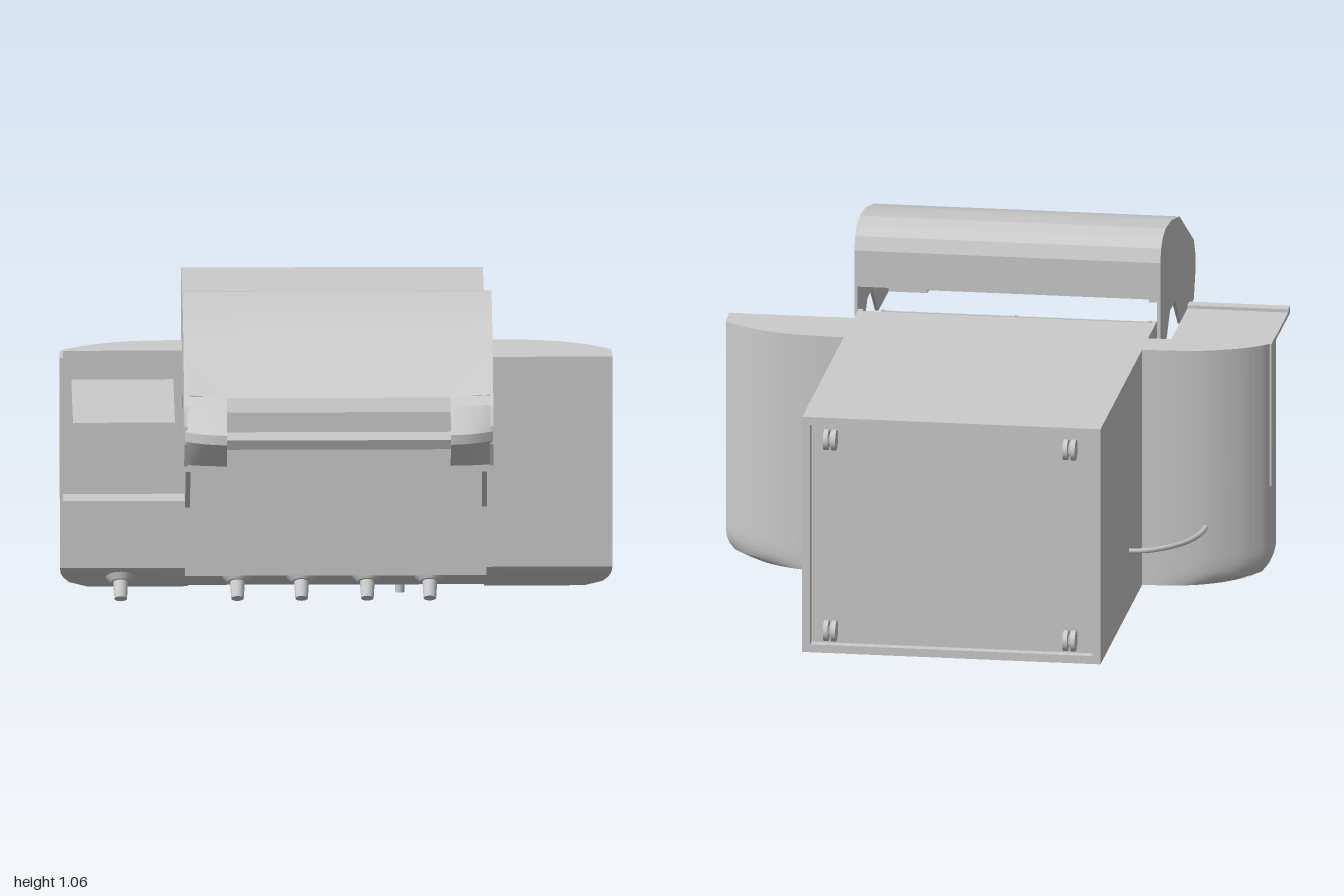
import * as THREE from 'three';
import { toCreasedNormals } from 'three/addons/utils/BufferGeometryUtils.js';

const grey = new THREE.MeshStandardMaterial({ color: 0xcccccc, side: THREE.DoubleSide });
const V = (x, y, z) => new THREE.Vector3(x, y, z);

export function createModel() {
  const model = new THREE.Group();

  const add = (name, geo, parent = model) => {
    const m = new THREE.Mesh(geo, grey);
    m.name = name;
    parent.add(m);
    return m;
  };
  const box = (name, x0, x1, y0, y1, z0, z1, parent) => {
    const g = new THREE.BoxGeometry(x1 - x0, y1 - y0, z1 - z0);
    g.translate((x0 + x1) / 2, (y0 + y1) / 2, (z0 + z1) / 2);
    return add(name, g, parent);
  };
  // Extrudes a [z, y] outline across x
  const across = (pts, x0, x1, steps = 1) => {
    const shape = new THREE.Shape(pts.map(p => new THREE.Vector2(p[0], p[1])));
    const g = new THREE.ExtrudeGeometry(shape, { depth: x1 - x0, steps, bevelEnabled: false });
    return g.rotateY(-Math.PI / 2).translate(x1, 0, 0);
  };
  // Open sheet through rows of points, two points per row
  const sheet = rows => {
    const pos = [], v = p => pos.push(...p);
    for (let i = 0; i < rows.length - 1; i++) {
      const [a, b] = rows[i], [c, d] = rows[i + 1];
      [a, c, b, b, c, d].forEach(v);
    }
    const g = new THREE.BufferGeometry();
    g.setAttribute('position', new THREE.Float32BufferAttribute(pos, 3));
    g.computeVertexNormals();
    return g;
  };
  const reshape = (g, rule) => {
    const p = g.attributes.position, v = V();
    for (let i = 0; i < p.count; i++) {
      v.fromBufferAttribute(p, i);
      rule(v);
      p.setXYZ(i, v.x, v.y, v.z);
    }
    g.computeVertexNormals();
    return g;
  };

  // Cabinet with a sloped control panel and a recessed base
  add('cabinet', across([[-0.925, 0.8], [-0.925, 0.055], [0, 0.055], [0.03, 0.062],
    [0.125, 0.135], [0.2, 0.135], [0.2, 0.8]], -0.46, 0.457));
  for (const [x0, x1] of [[-0.46, -0.435], [0.432, 0.457]])
    box('baseRimSide', x0, x1, 0.055, 0.8, -0.955, -0.925);
  for (const [y0, y1] of [[0.055, 0.08], [0.775, 0.8]])
    box('baseRimEdge', -0.46, 0.457, y0, y1, -0.955, -0.925);

  // Firebox walls
  const wall = [[0.19, 0.8], [0.19, 0.35], [0.2, 0.35], [0.31, 0.49], [0.31, 0.7], [0.22, 0.8]];
  add('fireboxWall', across(wall, -0.46, -0.445));
  add('fireboxWall', across(wall, 0.442, 0.457));

  // Warming rack
  const rack = new THREE.Group();
  rack.name = 'warmingRack';
  model.add(rack);
  box('rackLedge', -0.46, 0.46, 0.546, 0.554, 0.29, 0.41, rack);
  for (let i = 0; i < 10; i++) {
    const y = 0.558 + i * 0.02;
    box('rackBar', -0.413, 0.413, y - 0.004, y + 0.004, 0.4, 0.408, rack);
  }
  for (const x of [-0.41, 0, 0.41])
    box('rackPost', x - 0.005, x + 0.005, 0.55, 0.745, 0.4, 0.41, rack);

  // Hood shell, end panels and recessed front
  const hood = new THREE.Group();
  hood.name = 'hood';
  model.add(hood);
  const curve = [[0.22, 0.87], [0.22, 0.984], [0.237, 1.025], [0.27, 1.048], [0.33, 1.062],
    [0.45, 1.053], [0.62, 1.016], [0.71, 0.967]];
  add('hoodShell', toCreasedNormals(sheet(curve.map(([z, y]) => [[-0.47, y, z], [0.47, y, z]])), 0.3), hood);
  add('hoodFront', sheet([
    [[-0.47, 0.967, 0.71], [0.47, 0.967, 0.71]],
    [[-0.34, 0.87, 0.87], [0.34, 0.87, 0.87]],
    [[-0.34, 0.83, 0.89], [0.34, 0.83, 0.89]],
    [[-0.34, 0.668, 0.89], [0.34, 0.668, 0.89]]]), hood);
  const side = [[0.22, 0.738], ...curve.slice(1), [0.87, 0.881], [0.917, 0.855], [0.95, 0.8],
    [0.95, 0.745], [0.917, 0.668], [0.65, 0.668], [0.527, 0.775], [0.425, 0.775],
    [0.35, 0.706], [0.243, 0.706]];
  const lug = [[0.86, 0.872], [0.917, 0.855], [0.997, 0.785], [0.997, 0.755], [0.917, 0.668], [0.86, 0.668]];
  for (const s of [-1, 1]) {
    add('hoodEnd', across(side, s > 0 ? 0.46 : -0.47, s > 0 ? 0.47 : -0.46), hood);
    add('hoodCorner', sheet([
      [[s * 0.47, 0.967, 0.71], [s * 0.47, 0.881, 0.87]],
      [[s * 0.34, 0.87, 0.87], [s * 0.34, 0.87, 0.87]]]), hood);
    // Handle mount tapering towards the outside
    const mount = across(lug, s > 0 ? 0.34 : -0.47, s > 0 ? 0.47 : -0.34, 4);
    reshape(mount, v => {
      const t = (Math.abs(v.x) - 0.34) / 0.13;
      v.z = 0.86 + (v.z - 0.86) * (1 - 0.35 * t * t);
    });
    add('handleMount', toCreasedNormals(mount, 0.4), hood);
  }
  add('hoodHandle', across([[0.955, 0.785], [0.985, 0.787], [0.997, 0.77], [0.985, 0.738],
    [0.955, 0.735]], -0.34, 0.34), hood);

  // Side shelves: curved underside, rounded outer corner, sloped lower edge
  const shelf = (name, s, y0, y1, zTop, steps) => {
    const shape = new THREE.Shape();
    shape.moveTo(s * 0.45, 0.09);
    shape.splineThru([[0.56, 0.086], [0.66, 0.07], [0.75, 0.035], [0.81, -0.005], [0.838, -0.035]]
      .map(p => new THREE.Vector2(s * p[0], p[1])));
    if (zTop > 0.04) shape.lineTo(s * 0.84, -zTop);
    shape.lineTo(s * 0.45, -zTop);
    const g = new THREE.ExtrudeGeometry(shape, { depth: y1 - y0, steps, curveSegments: 16, bevelEnabled: false });
    g.rotateX(-Math.PI / 2).translate(0, y0, 0);
    reshape(g, v => {
      const t = Math.min(1, Math.max(0, (0.14 - v.y) / 0.085));
      const inset = 0.085 * (1 - Math.sqrt(1 - t * t));
      v.x = s * (0.45 + (Math.abs(v.x) - 0.45) * (1 - inset / 0.39));
      v.z = Math.min(v.z, 0.02 + (v.y - 0.055) * 1.3);
    });
    return add(name, toCreasedNormals(g, 0.5));
  };
  shelf('leftShelf', 1, 0.055, 0.8, 0.12, 35);
  shelf('burnerShelfFront', -1, 0.055, 0.35, 0.12, 14);
  shelf('burnerShelfTray', -1, 0.35, 0.8, 0.035, 4);
  box('burnerShelfRim', -0.84, -0.83, 0.35, 0.8, 0.03, 0.12);

  // Raised side burner lid
  box('burnerLid', -0.805, -0.495, 0.715, 0.727, 0.1, 0.655);
  box('burnerLidLip', -0.805, -0.495, 0.715, 0.737, 0.615, 0.655);

  // Control knobs, square to the sloped panel
  const axis = V(0, -0.79, 0.61).normalize();
  for (const x of [-0.655, -0.3, -0.105, 0.095, 0.285]) {
    const knob = new THREE.Group();
    knob.name = 'controlKnob';
    knob.position.set(x, 0.098, 0.078);
    knob.quaternion.setFromUnitVectors(V(0, 1, 0), axis);
    add('knobBezel', new THREE.CylinderGeometry(0.03, 0.046, 0.016, 24).translate(0, 0.008, 0), knob);
    add('knobGrip', new THREE.CylinderGeometry(0.019, 0.023, 0.06, 20).translate(0, 0.04, 0), knob);
    model.add(knob);
  }
  add('igniterButton', new THREE.CylinderGeometry(0.014, 0.014, 0.04, 16).translate(0.195, 0.046, -0.02));

  // Door handles
  for (const x of [-0.033, 0.035]) {
    const path = new THREE.CatmullRomCurve3([V(x, 0.06, -0.17), V(x, 0.035, -0.19), V(x, 0.014, -0.23),
      V(x, 0.012, -0.31), V(x, 0.014, -0.39), V(x, 0.035, -0.43), V(x, 0.06, -0.455)]);
    add('doorHandle', new THREE.TubeGeometry(path, 32, 0.01, 8));
  }

  // Gas hose to the side burner
  const hose = new THREE.CatmullRomCurve3([V(-0.45, 0.24, -0.358), V(-0.52, 0.24, -0.34),
    V(-0.6, 0.24, -0.265), V(-0.645, 0.24, -0.15), V(-0.655, 0.24, 0.01)]);
  add('gasHose', new THREE.TubeGeometry(hose, 32, 0.008, 8));

  // Casters
  for (const x of [-0.368, 0.368]) for (const y of [0.13, 0.735]) {
    const caster = new THREE.Group();
    caster.name = 'caster';
    caster.position.set(x, y, -0.968);
    for (const dx of [-0.012, 0.012])
      add('casterWheel', new THREE.CylinderGeometry(0.032, 0.032, 0.014, 20).rotateZ(Math.PI / 2).translate(dx, 0, 0), caster);
    add('casterStem', new THREE.CylinderGeometry(0.012, 0.012, 0.05, 12).rotateX(Math.PI / 2).translate(0, 0, 0.022), caster);
    model.add(caster);
  }
  return model;
}
